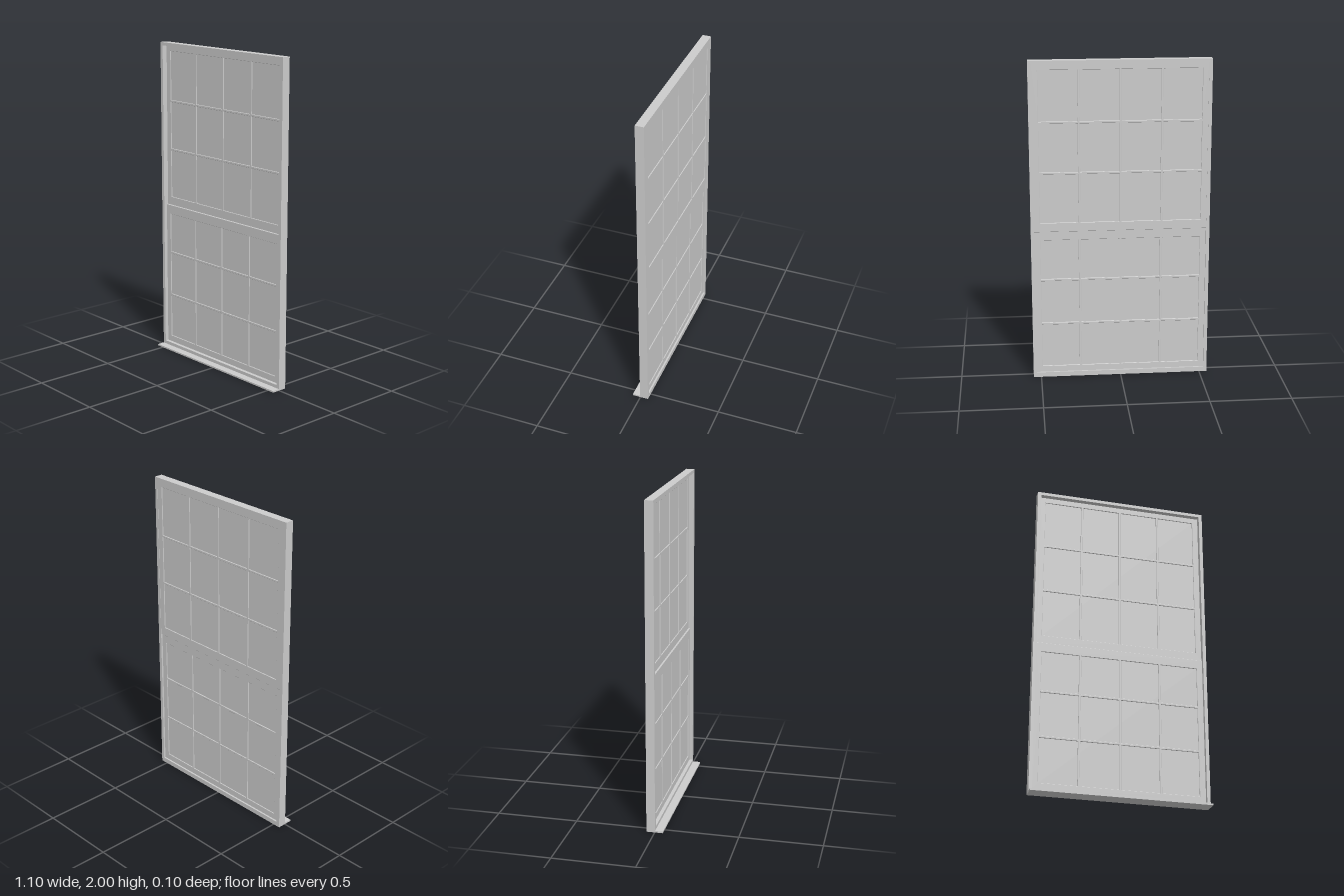
import * as THREE from 'three';

const grey = new THREE.MeshStandardMaterial({ color: 0xcccccc });
grey.name = 'paintedGrey';

// Traces an axis-aligned rectangle on a shape or hole path
function rect(path, x0, y0, x1, y1) {
  path.moveTo(x0, y0);
  path.lineTo(x1, y0);
  path.lineTo(x1, y1);
  path.lineTo(x0, y1);
  path.closePath();
  return path;
}

// Extrudes a rectangle with rectangular openings between two depths
function panel(name, outer, openings, back, front, bevel) {
  const shape = rect(new THREE.Shape(), ...outer);
  for (const o of openings) shape.holes.push(rect(new THREE.Path(), ...o));
  const geometry = new THREE.ExtrudeGeometry(shape, {
    depth: front - back - 2 * bevel,
    bevelEnabled: bevel > 0,
    bevelThickness: bevel,
    bevelSize: bevel,
    bevelOffset: -bevel,
    bevelSegments: 1,
  });
  geometry.translate(0, 0, back + bevel);
  const mesh = new THREE.Mesh(geometry, grey);
  mesh.name = name;
  return mesh;
}

function box(name, x0, y0, z0, x1, y1, z1) {
  const mesh = new THREE.Mesh(new THREE.BoxGeometry(x1 - x0, y1 - y0, z1 - z0), grey);
  mesh.name = name;
  mesh.position.set((x0 + x1) / 2, (y0 + y1) / 2, (z0 + z1) / 2);
  return mesh;
}

// A sash: border and glazing bars in one piece, with a shallowly recessed pane
function sash(name, bottom, top, bars, back, front) {
  const group = new THREE.Group();
  group.name = name;
  const xs = [-0.49, -0.25, 0, 0.25, 0.49];
  const half = 0.007;
  const openings = [];
  for (let i = 0; i < xs.length - 1; i++) {
    for (let j = 0; j < bars.length - 1; j++) {
      openings.push([
        xs[i] + (i > 0 ? half : 0),
        bars[j] + (j > 0 ? half : 0),
        xs[i + 1] - (i < xs.length - 2 ? half : 0),
        bars[j + 1] - (j < bars.length - 2 ? half : 0),
      ]);
    }
  }
  group.add(panel('sashFrame', [-0.53, bottom, 0.53, top], openings, back, front, 0.002));
  const recess = 0.005;
  group.add(box('pane', -0.5, bars[0] - 0.01, back + recess, 0.5, bars[3] + 0.01, front - recess));
  return group;
}

export function createModel() {
  const model = new THREE.Group();
  model.name = 'sashWindow';

  // Outer frame
  model.add(panel('outerFrame', [-0.548, 0.005, 0.548, 2], [[-0.527, 0.03, 0.527, 1.98]], -0.051, 0.002, 0));

  // Projecting sill
  model.add(box('sill', -0.548, 0, -0.051, 0.548, 0.01, 0.05));

  // Upper sash sits toward the back, lower sash toward the front
  model.add(sash('upperSash', 0.953, 1.983, [1.01, 1.319, 1.63, 1.945], -0.049, -0.03));
  model.add(sash('lowerSash', 0.027, 0.957, [0.07, 0.353, 0.64, 0.897], -0.04, -0.02));

  return model;
}
